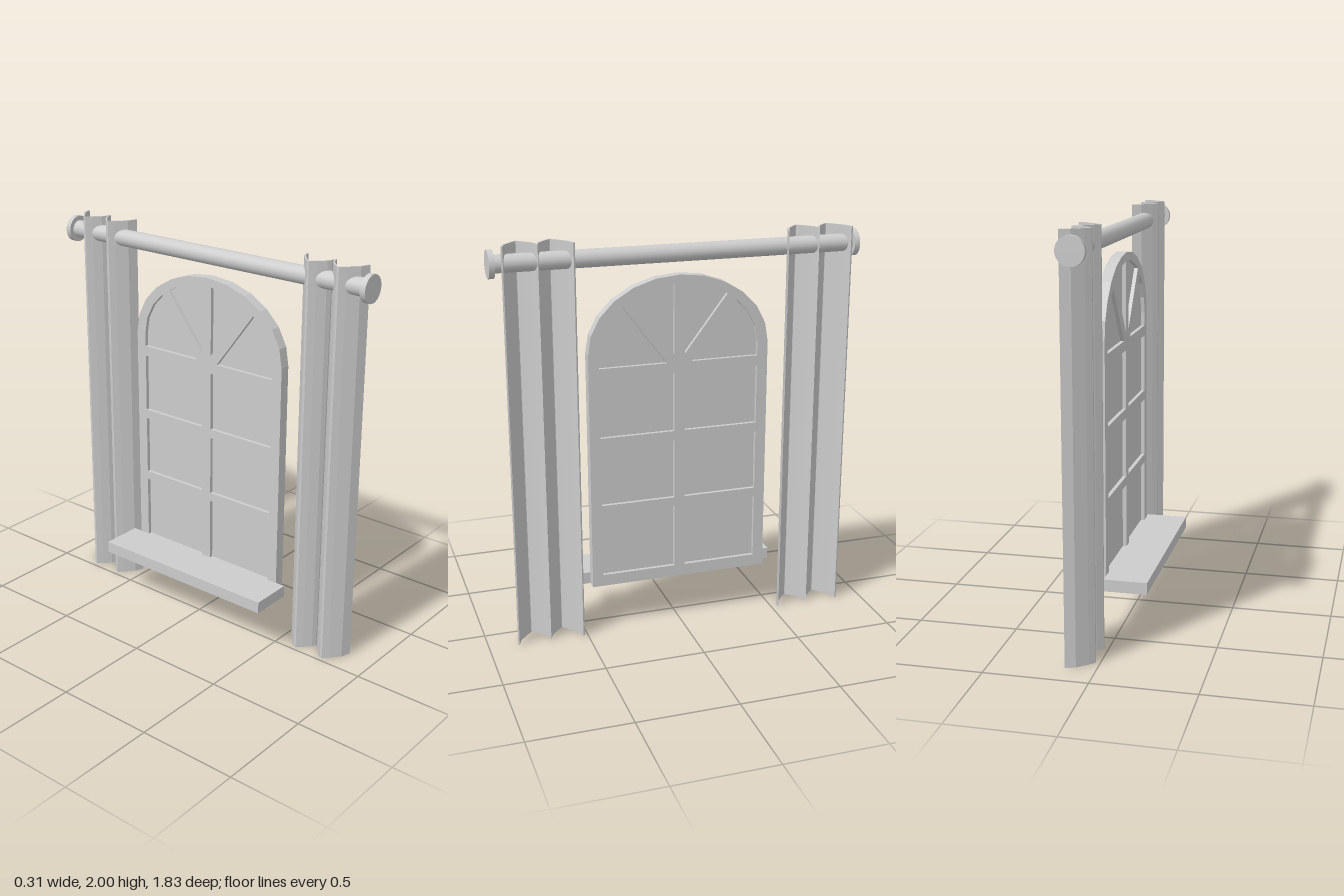
import * as THREE from 'three';

const SPRING = 1.448; // height where the arch begins

// Points on the arch ellipse, angles in degrees
const arc = (rz, ry, angles) => angles.map((a) => {
  const t = THREE.MathUtils.degToRad(a);
  return [rz * Math.cos(t), SPRING + ry * Math.sin(t)];
});
const toVectors = (pts) => pts.map(([a, b]) => new THREE.Vector2(a, b));
const mirror = (pts) => pts.map(([a, b]) => [-a, b]).reverse();

// Extrude a (z, y) outline so that it spans x0..x1
function panel(shape, x0, x1) {
  const geo = new THREE.ExtrudeGeometry(shape, { depth: x1 - x0, bevelEnabled: false });
  geo.rotateY(-Math.PI / 2);
  geo.translate(x1, 0, 0);
  return geo;
}

export function createModel() {
  const group = new THREE.Group();
  const grey = new THREE.MeshStandardMaterial({ color: 0xcccccc });
  grey.name = 'plain grey';
  const add = (name, geo, x = 0, y = 0, z = 0) => {
    const mesh = new THREE.Mesh(geo, grey);
    mesh.name = name;
    mesh.position.set(x, y, z);
    group.add(mesh);
    return mesh;
  };

  // Arched window frame with openings
  const steps = Array.from({ length: 13 }, (_, i) => i * 15);
  const frame = new THREE.Shape(toVectors([
    [-0.457, 0.24], [0.457, 0.24], ...arc(0.457, 0.362, steps),
  ]));
  const openings = [];
  for (const [low, high] of [[0.3, 0.63], [0.675, 0.98], [1.028, 1.326]]) {
    openings.push([[0.027, low], [0.403, low], [0.403, high], [0.027, high]]);
  }
  // Fan lights: outer and inner sector
  openings.push([[0.064, 1.379], [0.403, 1.379], ...arc(0.403, 0.318, [0, 15, 30, 45])]);
  openings.push([[0.027, 1.42], ...arc(0.403, 0.318, [53, 60, 75, 86.2])]);
  for (const o of openings) {
    frame.holes.push(new THREE.Path(toVectors(o)), new THREE.Path(toVectors(mirror(o))));
  }
  add('windowFrame', panel(frame, 0.053, 0.107));

  // Recessed panes
  const glass = new THREE.Shape(toVectors([
    [-0.42, 0.28], [0.42, 0.28], ...arc(0.42, 0.335, steps),
  ]));
  add('windowPanes', panel(glass, 0.072, 0.088));

  // Sill
  add('windowSill', new THREE.BoxGeometry(0.215, 0.06, 1.014), -0.0525, 0.27, 0);

  // Curtain rod and end caps
  const rod = new THREE.CylinderGeometry(0.043, 0.043, 1.79, 24).rotateX(Math.PI / 2);
  add('curtainRod', rod, 0.087, 1.912, 0);
  const cap = new THREE.CylinderGeometry(0.067, 0.067, 0.027, 24).rotateX(Math.PI / 2);
  for (const s of [-1, 1]) add('rodCap', cap, 0.087, 1.912, s * 0.899);

  // Pleated curtains: a folded strip of cloth given a thin section
  const half = [[0.147, 0.167], [0.1, 0.15], [0.05, 0.107], [0.026, 0.083], [0.026, 0.076],
    [0.05, 0.05], [0.085, 0.018], [0.105, 0.008]];
  const fold = [...half, [0.132, 0], ...half.map(([x, z]) => [x, -z]).reverse()];
  const offset = (side) => fold.map(([x, z], i) => {
    const a = fold[Math.max(i - 1, 0)], b = fold[Math.min(i + 1, fold.length - 1)];
    const dx = b[0] - a[0], dz = b[1] - a[1], len = Math.hypot(dx, dz);
    return [x - (dz / len) * side, z + (dx / len) * side];
  });
  const section = new THREE.Shape(toVectors([...offset(0.004), ...offset(-0.004).reverse()]));
  const curtain = new THREE.ExtrudeGeometry(section, { depth: 2, bevelEnabled: false });
  curtain.rotateX(-Math.PI / 2);
  add('leftCurtain', curtain, 0, 0, 0.686);
  add('rightCurtain', curtain, 0, 0, -0.703);

  return group;
}
